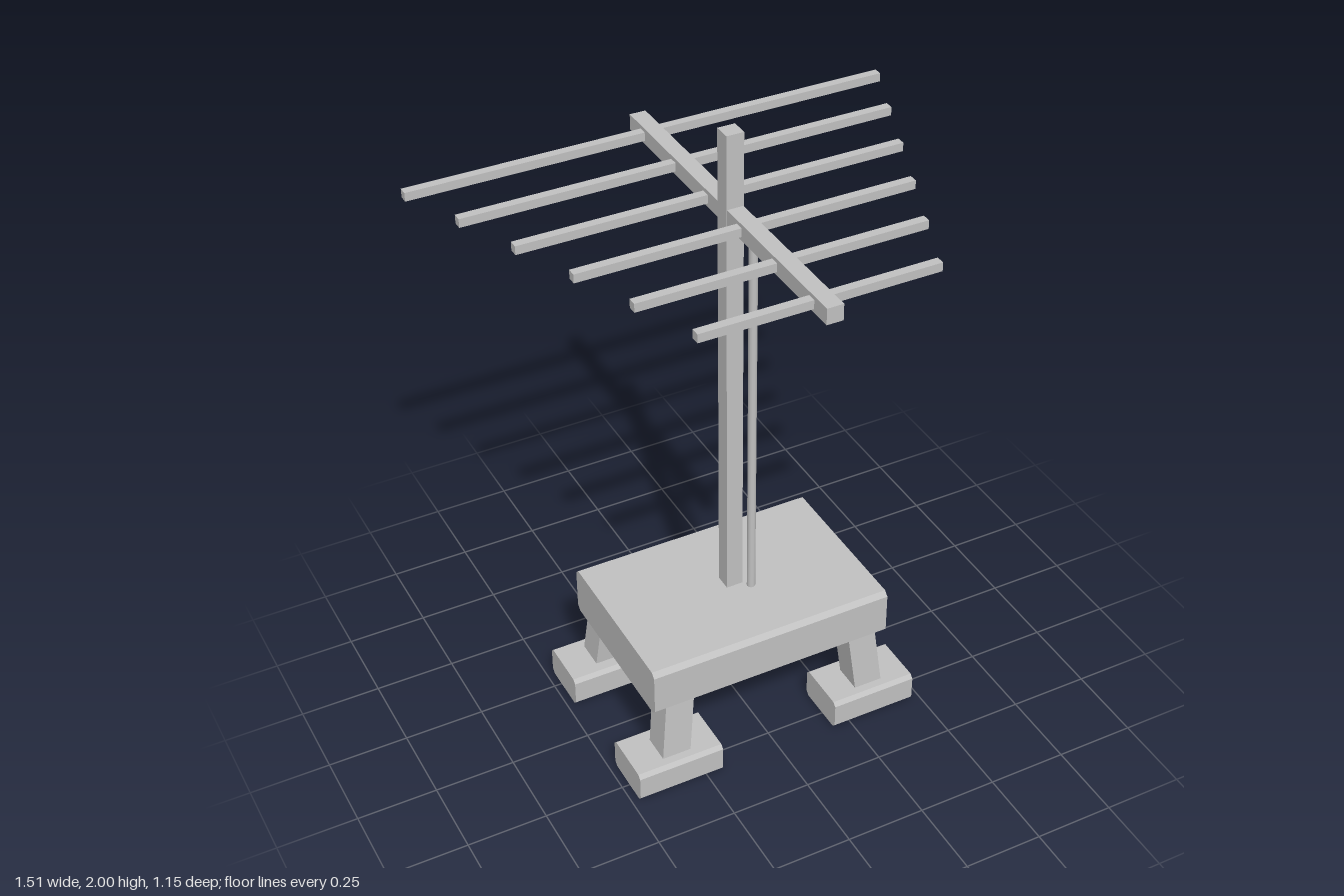
import * as THREE from 'three';

// Block running along x with chamfered long edges, centred on its middle
function chamferBlock(w, h, d, c) {
  const a = d / 2, b = h / 2;
  const s = new THREE.Shape([
    [-a + c, -b], [a - c, -b], [a, -b + c], [a, b - c],
    [a - c, b], [-a + c, b], [-a, b - c], [-a, -b + c],
  ].map(([x, y]) => new THREE.Vector2(x, y)));
  const g = new THREE.ExtrudeGeometry(s, { depth: w, bevelEnabled: false });
  return g.translate(0, 0, -w / 2).rotateY(Math.PI / 2);
}

// Square post sheared so its top and bottom have different centres
function leaningPost(size, bottom, top) {
  const h = top.y - bottom.y;
  const g = new THREE.BoxGeometry(size, h, size);
  const p = g.attributes.position, c = new THREE.Vector3();
  for (let i = 0; i < p.count; i++) {
    c.lerpVectors(bottom, top, p.getY(i) / h + 0.5);
    p.setXYZ(i, p.getX(i) + c.x, c.y, p.getZ(i) + c.z);
  }
  g.computeVertexNormals();
  return g;
}

export function createModel() {
  const model = new THREE.Group();
  const grey = new THREE.MeshStandardMaterial({ color: 0xc0c0c0 });
  grey.name = 'plain grey';

  const add = (name, geometry, x = 0, y = 0, z = 0) => {
    const m = new THREE.Mesh(geometry, grey);
    m.name = name;
    m.position.set(x, y, z);
    model.add(m);
    return m;
  };

  // Base slab
  add('baseSlab', chamferBlock(0.79, 0.16, 0.545, 0.015), -0.003, 0.362, 0.007);

  // Splayed legs on block feet
  for (const sx of [-1, 1]) {
    for (const sz of [-1, 1]) {
      const side = (sx > 0 ? 'left' : 'right') + (sz > 0 ? 'Front' : 'Back');
      add(side + 'Foot', chamferBlock(0.278, 0.1, 0.178, 0.012),
        sx * 0.334 - 0.002, 0.055, sz * 0.233 + 0.005);
      add(side + 'Leg', leaningPost(0.092,
        new THREE.Vector3(sx * 0.334 - 0.002, 0.09, sz * 0.238 + 0.007),
        new THREE.Vector3(sx * 0.308 - 0.002, 0.33, sz * 0.22 + 0.007)));
    }
  }

  // Mast through the slab, and the thin cable conduit beside it
  add('mast', new THREE.BoxGeometry(0.053, 1.85, 0.053), -0.002, 1.075, 0.004);
  add('conduit', new THREE.CylinderGeometry(0.013, 0.013, 1.435, 12), 0.043, 0.93, 0.052);

  // Aerial boom with six cross rods, shorter toward the front
  add('boom', new THREE.BoxGeometry(0.05, 0.05, 1.146), -0.002, 1.75, -0.001);
  for (let i = 0; i < 6; i++) {
    add('crossRod' + (i + 1), new THREE.BoxGeometry(1.51 - i * 0.1585, 0.027, 0.027),
      -0.001, 1.75, -0.489 + i * 0.1966);
  }
  return model;
}
